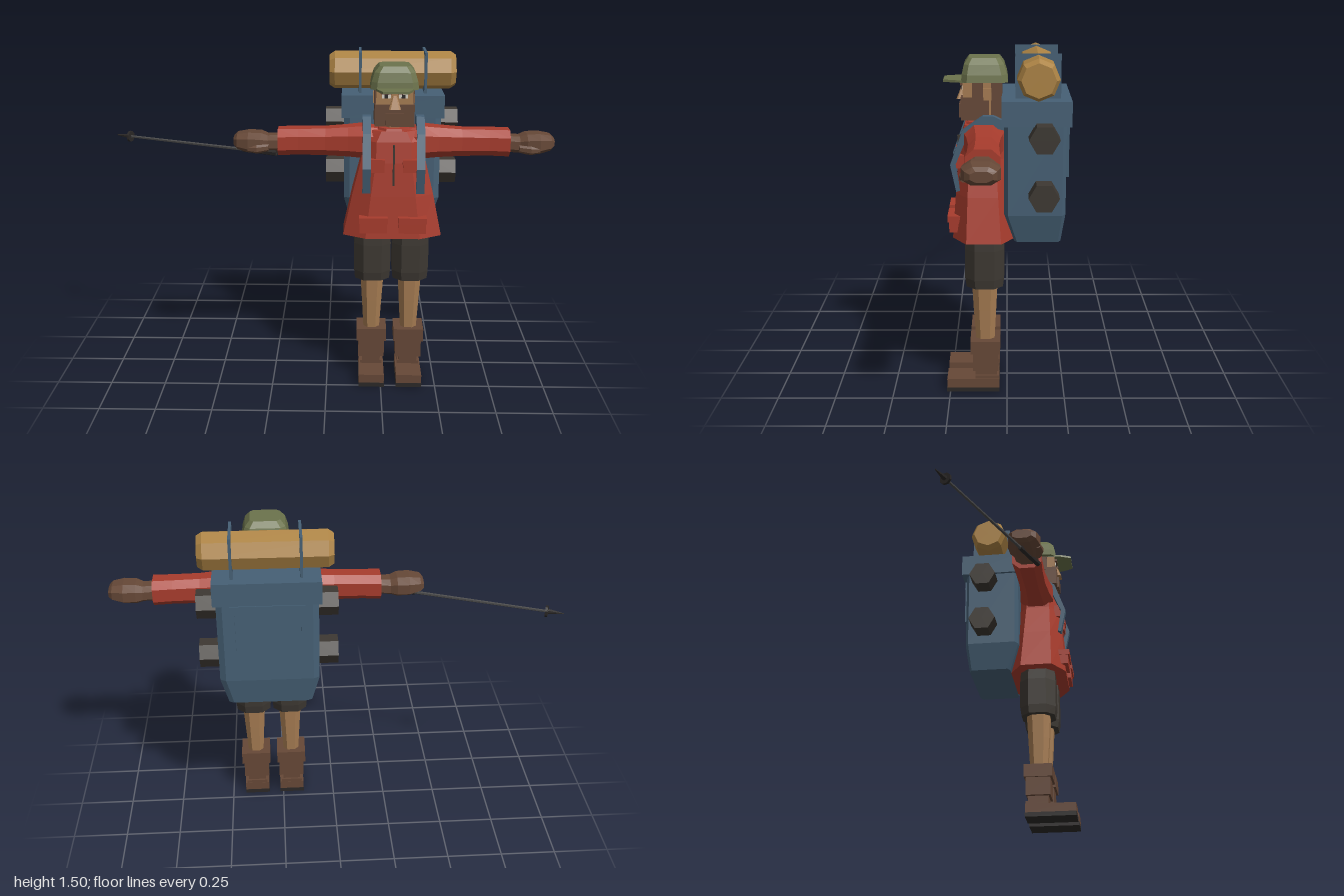
import * as THREE from 'three';

const paint = (name, color) => Object.assign(new THREE.MeshStandardMaterial({ color }), { name });

export function createModel() {
  const red = paint('jacket red', 0xa83c2d);
  const blue = paint('pack blue', 0x466075);
  const skin = paint('skin', 0xa67c52);
  const brown = paint('leather brown', 0x664837);
  const dark = paint('charcoal cloth', 0x3d3832);
  const ochre = paint('bedroll ochre', 0xac8344);
  const green = paint('cap green', 0x6c734c);
  const black = paint('sole black', 0x2b2827);
  const grey = paint('pole grey', 0x4a4a4a);
  const white = paint('eye white', 0xd8d4c8);

  const model = new THREE.Group();
  model.name = 'hiker';
  const figure = new THREE.Group();
  figure.name = 'figure';
  figure.position.x = 0.293;
  model.add(figure);

  const add = (name, geometry, material) => {
    const g = geometry.index ? geometry.toNonIndexed() : geometry;
    g.computeVertexNormals(); // faceted normals
    const mesh = new THREE.Mesh(g, material);
    mesh.name = name;
    figure.add(mesh);
    return mesh;
  };

  // box given by its limits
  const box = (name, mat, x0, x1, y0, y1, z0, z1) =>
    add(name, new THREE.BoxGeometry(x1 - x0, y1 - y0, z1 - z0)
      .translate((x0 + x1) / 2, (y0 + y1) / 2, (z0 + z1) / 2), mat);

  // stack of chamfered rectangles: [y, centre x, half width, back z, front z], k = flat share of each side
  const loft = (rings, k = 0.5) => {
    const outline = [[1, k], [1, -k], [k, -1], [-k, -1], [-1, -k], [-1, k], [-k, 1], [k, 1]];
    const pts = [], idx = [], n = 8;
    for (const [y, cx, hx, z0, z1] of rings)
      for (const [u, v] of outline) pts.push(cx + u * hx, y, (z0 + z1) / 2 + v * (z1 - z0) / 2);
    for (let r = 0; r < rings.length - 1; r++)
      for (let i = 0; i < n; i++) {
        const a = r * n + i, b = r * n + (i + 1) % n;
        idx.push(a, b, b + n, a, b + n, a + n);
      }
    const top = (rings.length - 1) * n;
    for (let i = 1; i < n - 1; i++) idx.push(0, i + 1, i, top, top + i, top + i + 1);
    const g = new THREE.BufferGeometry();
    g.setAttribute('position', new THREE.Float32BufferAttribute(pts, 3));
    g.setIndex(idx);
    return g;
  };

  // rod between two points
  const rod = (name, mat, a, b, r0, r1, sides = 6) => {
    const d = b.clone().sub(a);
    const g = new THREE.CylinderGeometry(r1, r0, d.length(), sides);
    g.applyQuaternion(new THREE.Quaternion().setFromUnitVectors(new THREE.Vector3(0, 1, 0), d.clone().normalize()));
    g.translate((a.x + b.x) / 2, (a.y + b.y) / 2, (a.z + b.z) / 2);
    return add(name, g, mat);
  };

  // legs, boots, arms, straps and pockets, one of each per side
  for (const s of [-1, 1]) {
    const side = s > 0 ? 'left' : 'right';
    const c = s * 0.086;
    const bootBox = (part, mat, hx, y0, y1, z0, z1) => box(side + part, mat, c - hx, c + hx, y0, y1, z0, z1);
    bootBox('Sole', black, 0.059, 0, 0.02, 0.033, 0.265);
    bootBox('BootFoot', brown, 0.058, 0.02, 0.06, 0.034, 0.264);
    bootBox('BootHeel', brown, 0.05, 0.06, 0.075, 0.035, 0.14);
    bootBox('BootAnkle', brown, 0.042, 0.07, 0.105, 0.045, 0.14);
    bootBox('BootShaft', brown, 0.06, 0.1, 0.185, 0.038, 0.15);
    bootBox('BootCuff', brown, 0.069, 0.183, 0.243, 0.03, 0.16);
    add(side + 'Shin', loft([[0.23, c, 0.036, 0.055, 0.135], [0.38, c, 0.045, 0.047, 0.145], [0.52, c, 0.054, 0.04, 0.152]]), skin);
    add(side + 'ShortsLeg', loft([[0.49, c, 0.078, 0.018, 0.174], [0.53, c, 0.082, 0.012, 0.18],
      [0.66, c, 0.083, 0.012, 0.18], [0.76, c, 0.078, 0.02, 0.175]]), dark);

    // arms are lofted upward, then laid out sideways; ring: [reach, centre height, half height, back z, front z]
    const limb = (name, rings, mat) => {
      const g = loft(rings.map(([d, h, r, z0, z1]) => [d, -s * (h - 1.12), r, z0, z1]));
      add(side + name, g.rotateZ(-s * Math.PI / 2).translate(0, 1.12, 0), mat);
    };
    limb('Sleeve', [[0.06, 1.125, 0.062, 0.03, 0.165], [0.13, 1.128, 0.072, 0.015, 0.178], [0.2, 1.127, 0.066, 0.025, 0.165],
      [0.3, 1.125, 0.06, 0.032, 0.155], [0.42, 1.125, 0.058, 0.028, 0.155], [0.51, 1.123, 0.059, 0.024, 0.16]], red);
    limb('Mitten', [[0.48, 1.12, 0.036, 0.045, 0.145], [0.555, 1.117, 0.036, 0.04, 0.15], [0.585, 1.12, 0.045, 0.026, 0.165],
      [0.64, 1.122, 0.045, 0.022, 0.17], [0.69, 1.125, 0.034, 0.035, 0.155], [0.706, 1.125, 0.02, 0.05, 0.135]], brown);
    limb('Thumb', [[0.55, 1.105, 0.016, 0.13, 0.165], [0.6, 1.1, 0.019, 0.135, 0.178], [0.64, 1.1, 0.012, 0.14, 0.17]], brown);

    // shoulder strap: thin blade following the chest; side outline extruded across its width
    const strap = new THREE.Shape([[-0.02, 1.2], [0.055, 1.235], [0.1, 1.235], [0.185, 1.175], [0.237, 1.03], [0.213, 0.915],
      [0.198, 0.92], [0.215, 1.03], [0.165, 1.15], [0.09, 1.195], [-0.02, 1.17]].map(p => new THREE.Vector2(...p)));
    const strapGeo = new THREE.ExtrudeGeometry(strap, { depth: 0.036, bevelEnabled: false });
    strapGeo.rotateY(-Math.PI / 2).translate(s * 0.118 + 0.018, 0, 0);
    add(side + 'ShoulderStrap', strapGeo, blue);

    const p = s * 0.078;
    box(side + 'ChestPocket', red, p - 0.037, p + 0.037, 1.01, 1.05, 0.18, 0.217);
    box(side + 'ChestPocketFlap', red, p - 0.039, p + 0.039, 1.045, 1.068, 0.18, 0.221);
    box(side + 'HipPocket', red, c - 0.06, c + 0.06, 0.74, 0.79, 0.18, 0.244);
    box(side + 'HipPocketFlap', red, c - 0.063, c + 0.063, 0.785, 0.812, 0.18, 0.251);

    // face details
    const e = s * 0.037;
    box(side + 'Eye', white, e - 0.019, e + 0.019, 1.332, 1.35, 0.18, 0.187);
    box(side + 'Pupil', black, e - 0.008, e + 0.008, 1.333, 1.349, 0.18, 0.189);
    box(side + 'Eyebrow', brown, e - 0.024, e + 0.024, 1.352, 1.364, 0.18, 0.194);
    box(side + 'Sideburn', brown, e + s * 0.044 - 0.006, e + s * 0.044 + 0.006, 1.29, 1.37, 0.1, 0.145);
    box(side + 'Ear', skin, e + s * 0.047 - 0.008, e + s * 0.047 + 0.008, 1.295, 1.345, 0.065, 0.098);

    // gear rolls on the sides of the pack
    for (const y of [0.93, 1.17]) {
      const roll = new THREE.CylinderGeometry(0.063, 0.063, 0.11, 6);
      add(side + 'GearRoll', roll.rotateZ(Math.PI / 2).translate(s * 0.248, y, -0.15), dark);
    }
    box(side + 'BedrollStrap', blue, s * 0.147 - 0.006, s * 0.147 + 0.006, 1.3, 1.495, -0.22, -0.035);
  }

  // jacket
  add('jacket', loft([[0.71, 0, 0.219, -0.035, 0.23], [0.9, 0, 0.179, -0.015, 0.216], [1.05, 0, 0.142, 0, 0.204],
    [1.14, 0, 0.137, 0.006, 0.192], [1.185, 0, 0.1, 0.015, 0.178]], 0.55), red);
  add('collar', loft([[1.15, 0, 0.08, 0.02, 0.185], [1.195, 0, 0.066, 0.025, 0.168]]), red);
  box('zip', dark, -0.004, 0.004, 0.93, 1.13, 0.19, 0.212).rotation.set(0, 0, 0);

  // head, hair and beard
  add('neck', loft([[1.14, 0, 0.04, 0.04, 0.14], [1.24, 0, 0.04, 0.04, 0.14]]), skin);
  box('head', skin, -0.08, 0.08, 1.215, 1.385, 0.04, 0.183);
  box('hair', brown, -0.086, 0.086, 1.21, 1.38, 0.02, 0.066);
  box('beard', brown, -0.086, 0.086, 1.21, 1.305, 0.075, 0.192);
  box('chinBeard', brown, -0.04, 0.04, 1.213, 1.27, 0.18, 0.201);
  add('nose', loft([[1.288, 0, 0.026, 0.175, 0.212], [1.345, 0, 0.008, 0.175, 0.19]], 0.7), skin);

  // cap with a tapering brim
  add('cap', loft([[1.368, 0, 0.104, -0.005, 0.19], [1.4, 0, 0.1, 0, 0.187], [1.44, 0, 0.088, 0.012, 0.178],
    [1.466, 0, 0.066, 0.03, 0.16]], 0.75), green);
  const brim = new THREE.Shape([[-0.088, 0.15], [0.088, 0.15], [0.076, 0.215], [0.055, 0.265], [-0.055, 0.265], [-0.076, 0.215]]
    .map(p => new THREE.Vector2(...p)));
  add('capBrim', new THREE.ExtrudeGeometry(brim, { depth: 0.01, bevelEnabled: false })
    .rotateX(Math.PI / 2).translate(0, 1.376, 0), green);

  // backpack
  add('packBody', loft([[0.71, 0, 0.185, -0.225, -0.03], [0.835, 0, 0.218, -0.243, 0.012],
    [1.22, 0, 0.218, -0.243, 0.012]], 0.88), blue);
  box('packLid', blue, -0.23, 0.23, 1.21, 1.313, -0.263, 0.022);
  box('packPocket', blue, -0.13, 0.13, 0.985, 1.2, -0.253, -0.23);
  box('packPocketFlap', blue, -0.16, 0.16, 1.165, 1.205, -0.258, -0.23);
  for (const s of [-1, 1]) box('packWebbing', blue, s * 0.15 - 0.01, s * 0.15 + 0.01, 0.985, 1.2, -0.256, -0.23);

  // bedroll with bevelled ends
  const rollProfile = [[0, -0.286], [0.07, -0.286], [0.086, -0.262], [0.086, 0.262], [0.07, 0.286], [0, 0.286]];
  add('bedroll', new THREE.LatheGeometry(rollProfile.map(p => new THREE.Vector2(...p)), 8)
    .rotateZ(Math.PI / 2).translate(0, 1.405, -0.126), ochre);

  // trekking pole held in the right hand
  const grip = new THREE.Vector3(-0.515, 1.078, 0.145), tip = new THREE.Vector3(-1.293, 1.083, -0.175);
  const at = t => grip.clone().lerp(tip, t);
  rod('poleShaft', grey, at(0), at(0.93), 0.008, 0.006);
  rod('poleGrip', black, at(0), at(0.2), 0.013, 0.012);
  rod('poleBasket', black, at(0.905), at(0.918), 0.026, 0.026, 8);
  rod('poleTip', black, at(0.92), at(1), 0.012, 0.002);

  return model;
}
